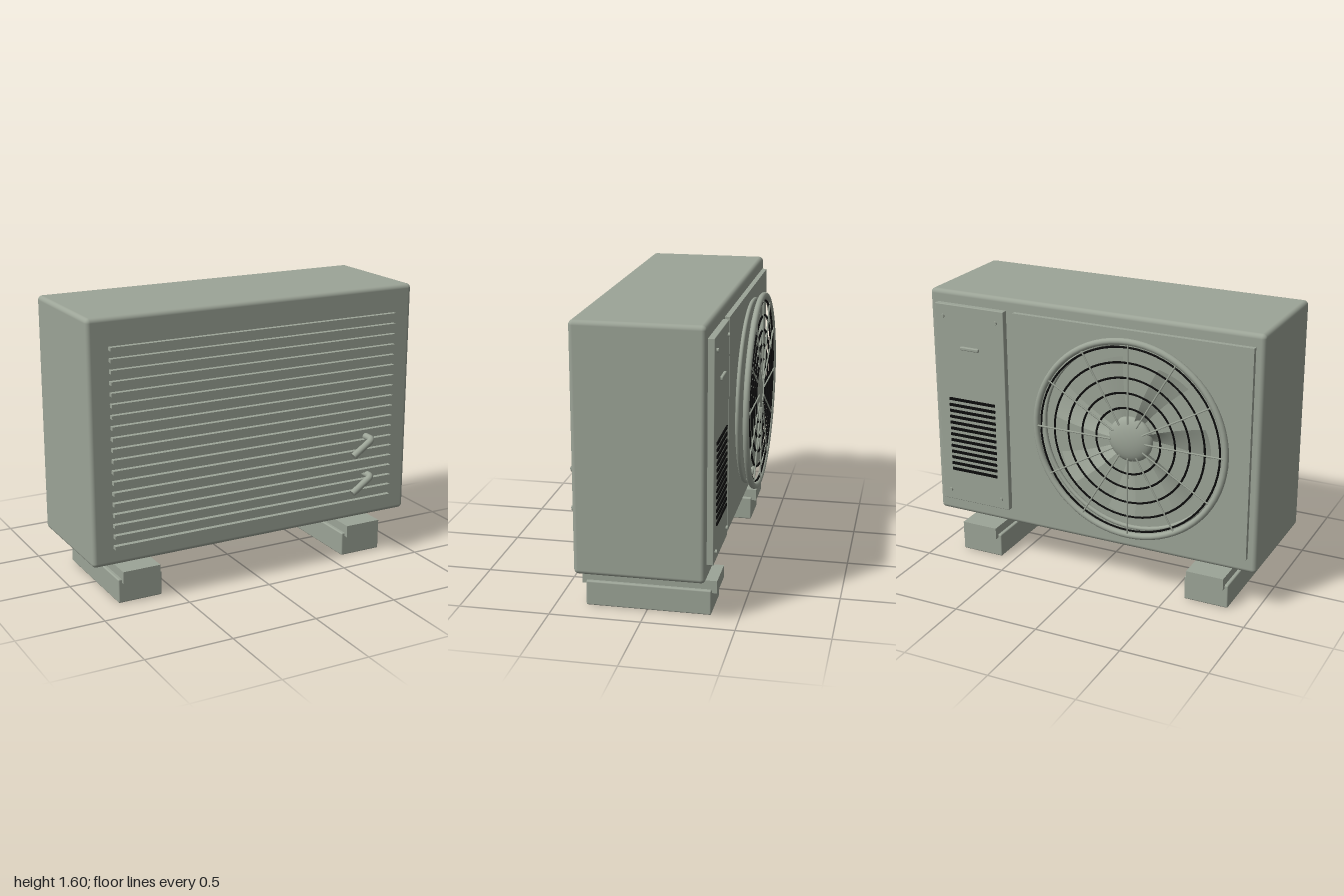
import * as THREE from 'three';
import { RoundedBoxGeometry } from 'three/addons/geometries/RoundedBoxGeometry.js';

export function createModel() {
  const model = new THREE.Group();
  const mat = (name, color, side = THREE.FrontSide) => {
    const m = new THREE.MeshStandardMaterial({ color, side });
    m.name = name;
    return m;
  };
  const paint = mat('grey green paint', 0x9ca497, THREE.DoubleSide);
  const dark = mat('black', 0x0c0c0c);

  const add = (name, geometry, material, x = 0, y = 0, z = 0, parent = model) => {
    const mesh = new THREE.Mesh(geometry, material);
    mesh.name = name;
    mesh.position.set(x, y, z);
    parent.add(mesh);
    return mesh;
  };
  // Box given by its limits on each axis, optionally rounded
  const box = (name, [x0, x1], [y0, y1], [z0, z1], r = 0, material = paint) => {
    const w = x1 - x0, h = y1 - y0, d = z1 - z0;
    const g = r ? new RoundedBoxGeometry(w, h, d, 3, r) : new THREE.BoxGeometry(w, h, d);
    return add(name, g, material, (x0 + x1) / 2, (y0 + y1) / 2, (z0 + z1) / 2);
  };

  // Casing
  box('casing', [-1, 1], [0.24, 1.6], [-0.34, 0.36], 0.025);

  // Feet: mounting rail on a heavier block
  for (const s of [-1, 1]) {
    const c = s * 0.717;
    box('footBlock', [c - 0.13, c + 0.13], [0, 0.14], [-0.347, 0.335], 0.008);
    box('footRail', [c - 0.11, c + 0.11], [0.12, 0.19], [-0.375, 0.36]);
  }

  // Coil louvres on the front
  for (let i = 0; i < 19; i++) {
    const y = 0.347 + i * 0.0605;
    box('louvre', [-0.88, 0.88], [y - 0.01, y + 0.01], [0.35, 0.388]);
  }

  // Bent pipe stubs
  for (const y of [0.73, 0.505]) {
    const path = new THREE.CurvePath();
    const a = new THREE.Vector3(0.715, y, 0.34), b = new THREE.Vector3(0.715, y, 0.405);
    const k = new THREE.Vector3(0.715, y, 0.43), c = new THREE.Vector3(0.695, y - 0.014, 0.43);
    const d = new THREE.Vector3(0.59, y - 0.085, 0.43);
    path.add(new THREE.LineCurve3(a, b));
    path.add(new THREE.QuadraticBezierCurve3(b, k, c));
    path.add(new THREE.LineCurve3(c, d));
    add('pipe', new THREE.TubeGeometry(path, 32, 0.02, 12), paint);
    const cap = add('pipeCap', new THREE.CircleGeometry(0.02, 12), paint, d.x, d.y, d.z);
    cap.lookAt(d.clone().multiplyScalar(2).sub(c));
  }

  // Rear panels
  box('fanPanel', [-0.95, 0.455], [0.33, 1.53], [-0.368, -0.335]);
  box('servicePanel', [0.51, 0.95], [0.33, 1.53], [-0.375, -0.335], 0.004);
  box('panelHandle', [0.67, 0.79], [1.275, 1.295], [-0.39, -0.37], 0.006);
  for (let i = 0; i < 13; i++) {
    const y = 0.53 + i * 0.0365;
    box('ventSlot', [0.58, 0.88], [y - 0.008, y + 0.008], [-0.382, -0.373], 0, dark);
  }
  for (const x of [0.56, 0.9]) for (const y of [0.39, 1.46]) {
    add('screw', new THREE.CylinderGeometry(0.011, 0.011, 0.016, 12), paint, x, y, -0.378).rotation.x = Math.PI / 2;
  }

  // Fan assembly on the rear
  const fan = new THREE.Group();
  fan.name = 'fan';
  fan.position.set(-0.28, 0.93, 0);
  model.add(fan);
  add('shroudRing', new THREE.TorusGeometry(0.535, 0.012, 10, 64), paint, 0, 0, -0.382, fan);
  add('guardRim', new THREE.TorusGeometry(0.56, 0.018, 12, 72), paint, 0, 0, -0.434, fan);
  const hub = add('hub', new THREE.SphereGeometry(0.13, 32, 20), paint, 0, 0, -0.4, fan);
  hub.scale.z = 0.36;

  // Pitched blades that widen towards the tip
  const bladeGeo = new THREE.PlaneGeometry(1, 1, 8, 8);
  const p = bladeGeo.attributes.position;
  for (let i = 0; i < p.count; i++) {
    const u = p.getX(i) + 0.5, v = p.getY(i);
    const r = 0.1 + 0.36 * u;
    const angle = v * 0.4 + 0.12 * u;
    p.setXYZ(i, r * Math.cos(angle), r * Math.sin(angle), v * 0.042 + 0.012 * (0.25 - v * v));
  }
  bladeGeo.computeVertexNormals();
  for (let i = 0; i < 7; i++) {
    const blade = add('fanBlade', bladeGeo, paint, 0, 0, -0.4, fan);
    blade.rotation.z = 2.92 + (i * Math.PI * 2) / 7;
  }

  // Wire guard: concentric rings and radial spokes
  for (const r of [0.19, 0.275, 0.36, 0.445, 0.53]) {
    add('guardRing', new THREE.TorusGeometry(r, 0.006, 6, 64), dark, 0, 0, -0.437, fan);
  }
  const spokeGeo = new THREE.CylinderGeometry(0.005, 0.005, 0.46, 6).translate(0, 0.33, 0);
  for (let i = 0; i < 12; i++) {
    const spoke = add('guardSpoke', spokeGeo, paint, 0, 0, -0.443, fan);
    spoke.rotation.z = (i * Math.PI) / 6;
  }
  return model;
}
